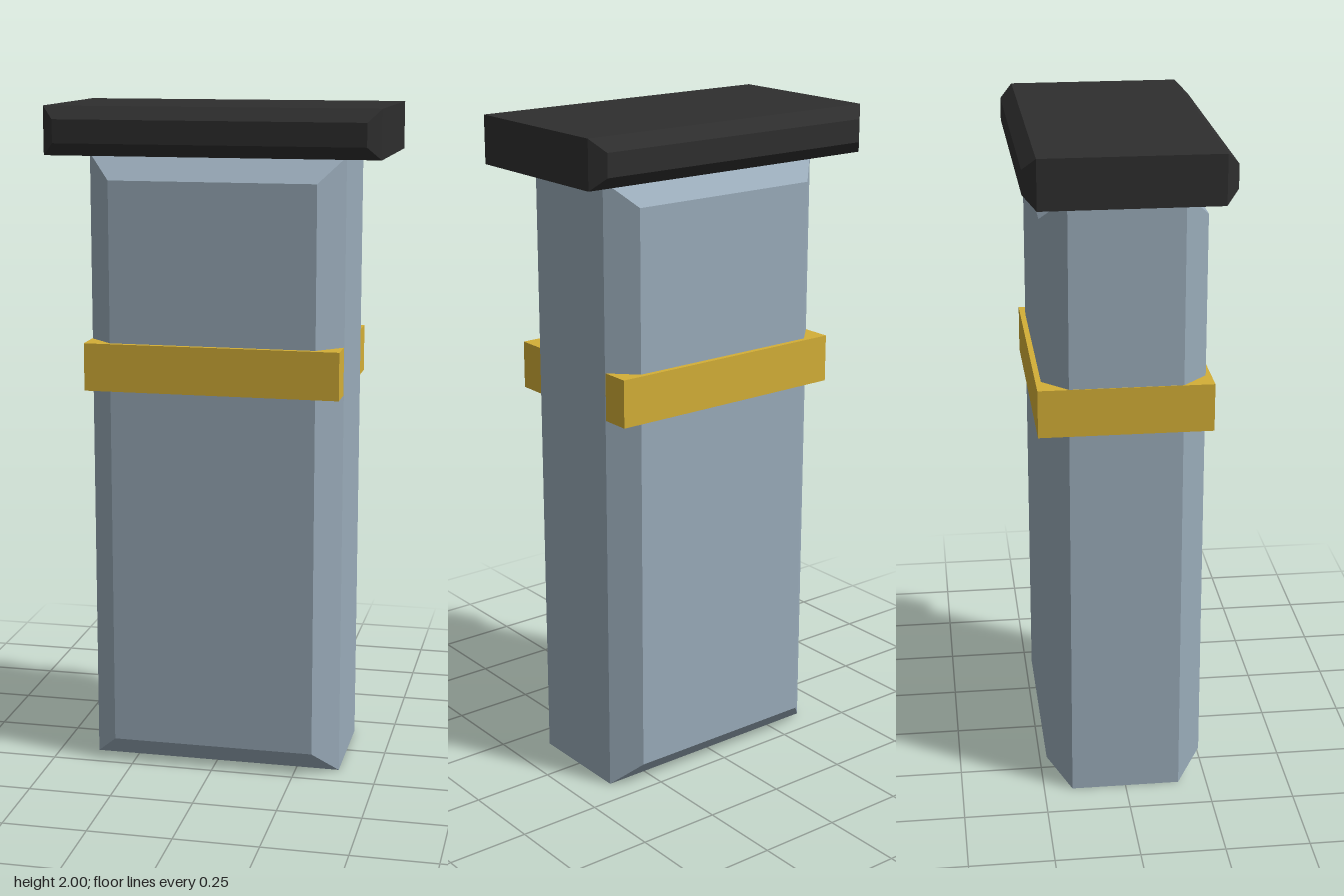
import * as THREE from 'three';

const mat = (name, color) => {
  const m = new THREE.MeshStandardMaterial({ color });
  m.name = name;
  return m;
};

// Block whose front and back rims are chamfered; sizes are overall.
function chamferedBlock(width, height, depth, chamfer) {
  const x = width / 2 - chamfer, y = height / 2 - chamfer;
  const shape = new THREE.Shape([
    new THREE.Vector2(-x, -y), new THREE.Vector2(x, -y),
    new THREE.Vector2(x, y), new THREE.Vector2(-x, y),
  ]);
  const core = depth - 2 * chamfer;
  const geo = new THREE.ExtrudeGeometry(shape, {
    depth: core, bevelEnabled: true, bevelSegments: 1,
    bevelSize: chamfer, bevelThickness: chamfer,
  });
  return geo.translate(0, 0, -core / 2);
}

export function createModel() {
  const group = new THREE.Group();
  group.name = 'flask';

  const add = (name, geometry, material, x, y) => {
    const mesh = new THREE.Mesh(geometry, material);
    mesh.name = name;
    mesh.position.set(x, y, 0);
    group.add(mesh);
  };

  // Tall body
  add('body', chamferedBlock(0.76, 1.86, 0.474, 0.073), mat('blue grey', 0x9aacba), 0, 0.93);

  // Band, set flush inside the body's left side
  add('band', new THREE.BoxGeometry(0.761, 0.142, 0.506), mat('gold', 0xd4af37), -0.0015, 1.239);

  // Wide cap on top
  add('cap', chamferedBlock(0.984, 0.142, 0.584, 0.037), mat('black', 0x2e2e2e), 0, 1.929);

  return group;
}
